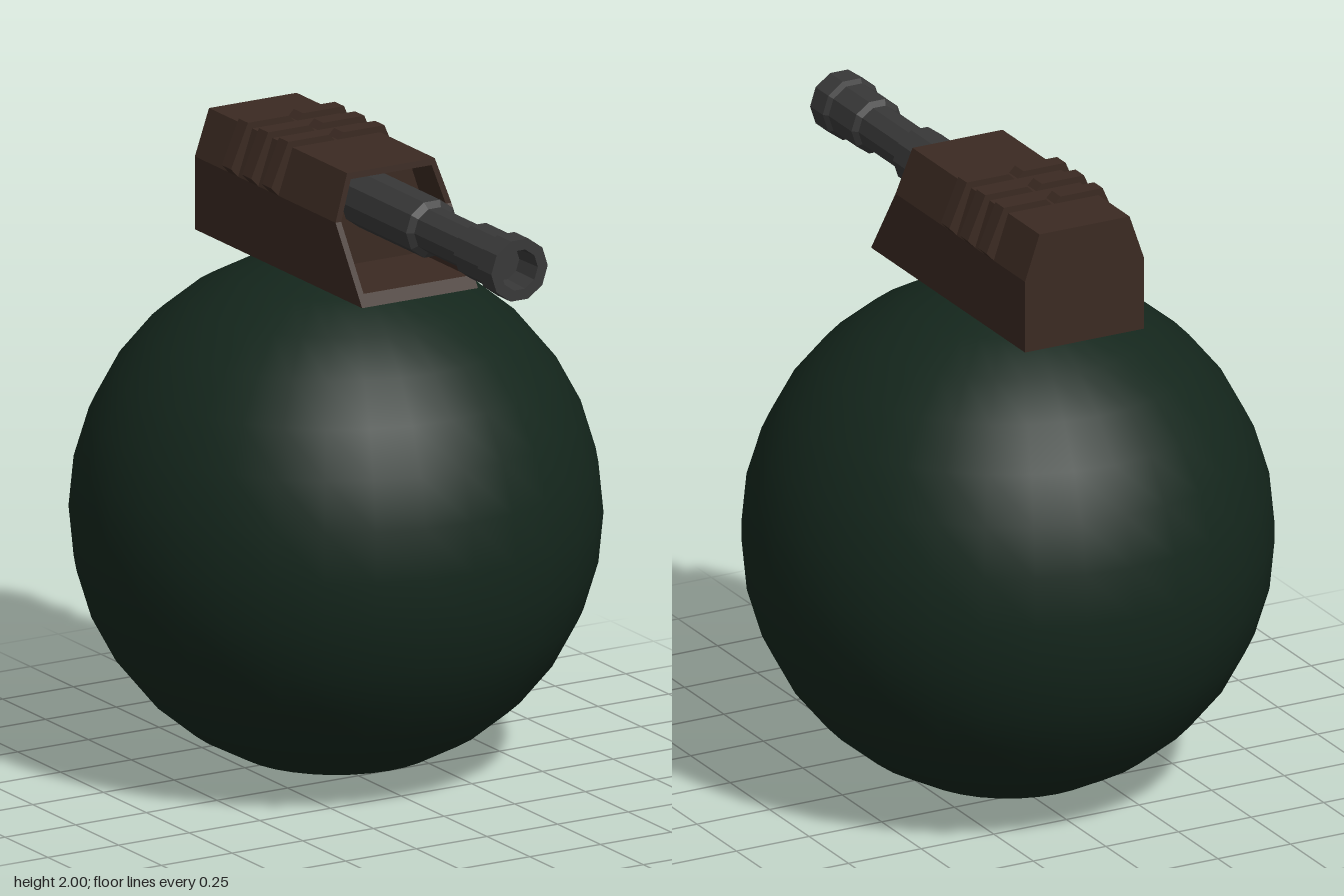
import * as THREE from 'three';

const mat = (color, flatShading = true) => new THREE.MeshStandardMaterial({ color, flatShading });

function add(group, name, geometry, material) {
  const mesh = new THREE.Mesh(geometry, material);
  mesh.name = name;
  group.add(mesh);
  return mesh;
}

// Six-cornered housing section, counter-clockwise seen from the front
function section(inset, zAt) {
  const w = 0.205 - inset, t = 0.155 - inset * 0.6;
  const y0 = 1.605 + inset * 1.8, y1 = 1.835, y2 = 1.98 - inset;
  return [[-w, y0], [w, y0], [w, y1], [t, y2], [-t, y2], [-w, y1]]
    .map(([x, y]) => new THREE.Vector3(x, y, zAt(y)));
}

// Skin a series of closed loops and cap both ends
function skin(loops) {
  const pos = [];
  const tri = (...v) => v.forEach(p => pos.push(p.x, p.y, p.z));
  const n = loops[0].length;
  for (let i = 0; i < loops.length - 1; i++) {
    for (let j = 0; j < n; j++) {
      const k = (j + 1) % n, a = loops[i], b = loops[i + 1];
      tri(a[j], a[k], b[k]);
      tri(a[j], b[k], b[j]);
    }
  }
  const first = loops[0], last = loops[loops.length - 1];
  for (let j = 1; j < n - 1; j++) {
    tri(first[0], first[j + 1], first[j]);
    tri(last[0], last[j], last[j + 1]);
  }
  const g = new THREE.BufferGeometry();
  g.setAttribute('position', new THREE.Float32BufferAttribute(pos, 3));
  g.computeVertexNormals();
  return g;
}

export function createModel() {
  const model = new THREE.Group();
  model.name = 'ballTurret';
  const green = mat(0x14261c, false), brown = mat(0x3b2a22), grey = mat(0x383838);

  // Ball base
  const ball = add(model, 'ball', new THREE.SphereGeometry(0.81, 32, 16), green);
  ball.position.set(0, 0.815, -0.13);

  // Housing with raked nose and recessed opening
  const nose = y => y < 1.835
    ? THREE.MathUtils.mapLinear(y, 1.605, 1.835, 0.36, 0.205)
    : THREE.MathUtils.mapLinear(y, 1.835, 1.98, 0.205, 0.19);
  add(model, 'housing', skin([
    section(0, () => -0.615),
    section(0, nose),
    section(0.02, nose),
    section(0.02, () => 0.05),
  ]), brown);

  // Three ribs over the roof, each with a V notch on top
  const outline = [[0.2, 1.835], [0.205, 1.835], [0.23, 1.862], [0.17, 2], [0.025, 2]];
  const ribShape = new THREE.Shape([
    ...outline,
    [0, 1.975],
    ...outline.map(([x, y]) => [-x, y]).reverse(),
  ].map(([x, y]) => new THREE.Vector2(x, y)));
  const ribGeometry = new THREE.ExtrudeGeometry(ribShape, { depth: 0.054, bevelEnabled: false });
  for (const z of [-0.155, -0.272, -0.39]) {
    add(model, 'rib', ribGeometry, brown).position.z = z - 0.027;
  }

  // Ten-sided stepped barrel with an open bore, turned to point forward
  const profile = [
    [0, 0.02], [0.092, 0.02], [0.092, 0.43], [0.072, 0.445], [0.072, 0.685],
    [0.088, 0.7], [0.088, 0.845], [0.1, 0.86], [0.1, 0.94], [0.065, 0.94],
    [0.06, 0.84], [0, 0.84],
  ].map(([r, z]) => new THREE.Vector2(r, z));
  const barrel = new THREE.LatheGeometry(profile, 10, Math.PI / 2).rotateX(Math.PI / 2);
  add(model, 'barrel', barrel, grey).position.y = 1.842;

  return model;
}
